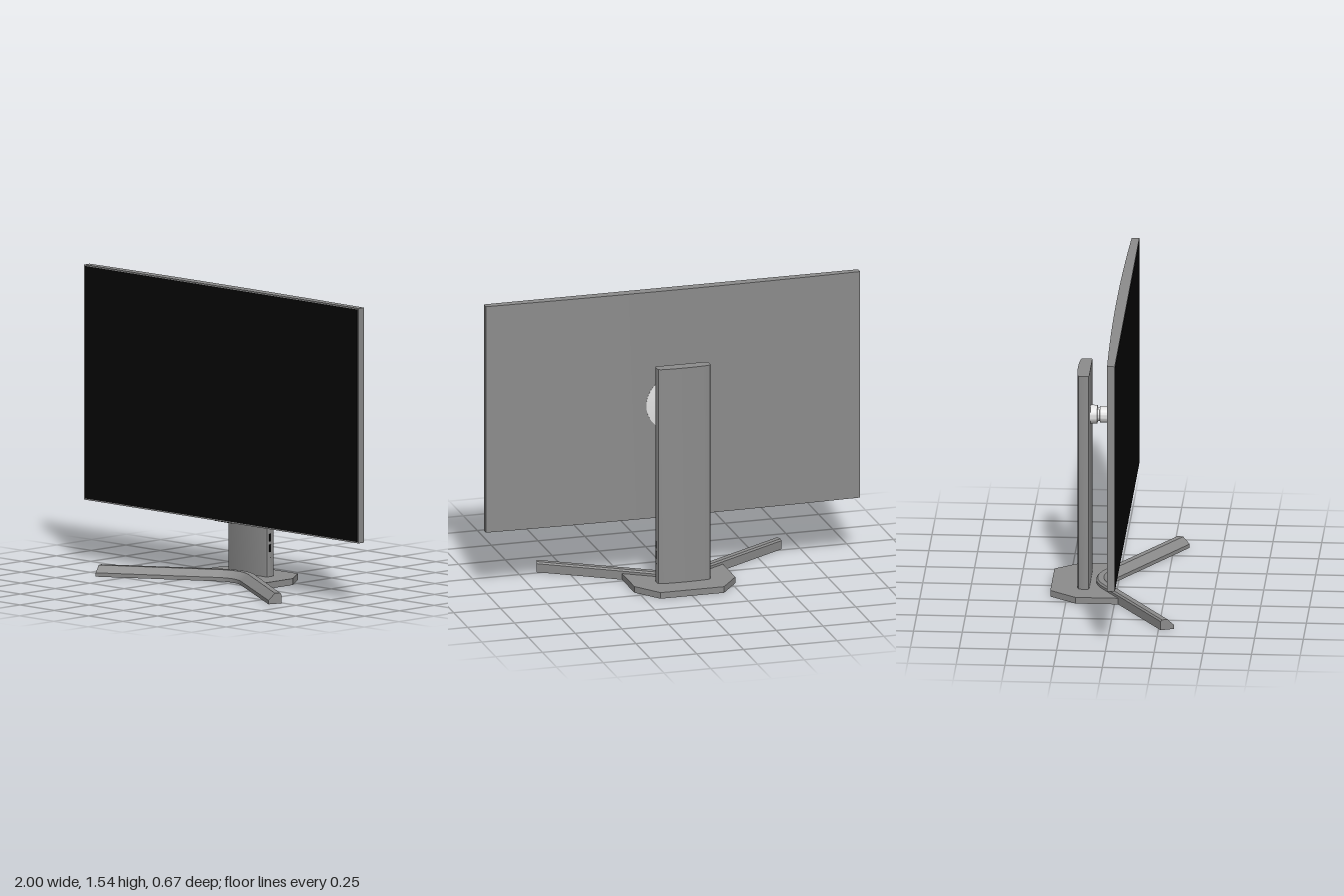
import * as THREE from 'three';
import { toCreasedNormals } from 'three/addons/utils/BufferGeometryUtils.js';

const mat = (name, color) => new THREE.MeshStandardMaterial({ name, color });

// Extrude an outline given in x, z upwards from y0 to y1
function slab(points, y0, y1) {
  const shape = new THREE.Shape(points.map(([x, z]) => new THREE.Vector2(x, -z)));
  const geo = new THREE.ExtrudeGeometry(shape, { depth: y1 - y0, bevelEnabled: false });
  geo.rotateX(-Math.PI / 2).translate(0, y0, 0);
  return toCreasedNormals(geo, 0.5);
}

// Mirror the right half of an outline over x = 0
const mirrored = (half) => [...half, ...half.map(([x, z]) => [-x, z]).reverse()];

// Sweep a cross-section between a back edge and a front edge
function sweep(back, front, section) {
  const n = section.length, pos = [], idx = [];
  back.forEach((b, i) => section.forEach(([t, y]) =>
    pos.push(b.x + (front[i].x - b.x) * t, y, b.y + (front[i].y - b.y) * t)));
  for (let i = 0; i < back.length - 1; i++) {
    for (let j = 0; j < n; j++) {
      const a = i * n + j, b = i * n + (j + 1) % n;
      idx.push(a, b, a + n, b, b + n, a + n);
    }
  }
  const last = (back.length - 1) * n;
  for (let j = 1; j < n - 1; j++) {
    idx.push(0, j + 1, j, last, last + j, last + j + 1);
  }
  const geo = new THREE.BufferGeometry();
  geo.setAttribute('position', new THREE.Float32BufferAttribute(pos, 3));
  geo.setIndex(idx);
  return toCreasedNormals(geo, 0.4);
}

// Straight arm, rounded bend, straight arm
function bentEdge(endX, endZ, bendX, bendZ, controlZ) {
  const v = (x, z) => new THREE.Vector2(x, z);
  const bend = new THREE.QuadraticBezierCurve(v(-bendX, bendZ), v(0, controlZ), v(bendX, bendZ));
  return [v(-endX, endZ), ...bend.getPoints(12), v(endX, endZ)];
}

export function createModel() {
  const group = new THREE.Group();
  const grey = mat('grey plastic', 0x8c8c8c);
  const black = mat('black screen', 0x050505);
  const silver = mat('light metal', 0xe2e2e2);
  const add = (name, geo, material, x = 0, y = 0, z = 0) => {
    const mesh = new THREE.Mesh(geo, material);
    mesh.name = name;
    mesh.position.set(x, y, z);
    group.add(mesh);
  };

  // Display housing with a gently bowed back
  const housing = [[-1, 0.048], [1, 0.048]];
  for (let i = 0; i <= 16; i++) {
    const x = 1 - i / 8;
    housing.push([x, -0.007 + 0.016 * x * x]);
  }
  add('displayHousing', slab(housing, 0.326, 1.545), grey);
  add('screen', new THREE.BoxGeometry(1.986, 1.205, 0.004), black, 0, 0.9355, 0.048);
  add('sensorStrip', new THREE.BoxGeometry(0.12, 0.008, 0.025), black, 0, 0.325, 0.02);

  // Shallow mounting dish, pivot and collar
  const mount = [[0, 0], [0.148, 0], [0.148, 0.003], [0.05, 0.013], [0.042, 0.014], [0.042, 0.084],
    [0.035, 0.086], [0.035, 0.096], [0.048, 0.098], [0.048, 0.138], [0, 0.138]];
  const mountGeo = new THREE.LatheGeometry(mount.map(([r, d]) => new THREE.Vector2(r, d)), 40);
  add('mount', toCreasedNormals(mountGeo.rotateX(-Math.PI / 2), 0.5), silver, 0, 0.935, -0.005);

  // Upright column with rounded corners and a curved back
  const column = [[0, -0.204], [0.05, -0.203], [0.1, -0.2], [0.125, -0.197],
    [0.137, -0.192], [0.142, -0.182], [0.142, -0.15], [0.139, -0.142], [0.13, -0.138]];
  add('column', slab(mirrored(column).slice(0, -1).reverse(), 0.03, 1.187), grey);

  // Sockets on the column's side
  for (const [y, h, w] of [[0.235, 0.04, 0.013], [0.18, 0.04, 0.013], [0.132, 0.004, 0.004]]) {
    add('socket', new THREE.BoxGeometry(0.004, h, w), black, 0.141, y, -0.163);
  }

  // Base plate
  const plate = [[0.17, -0.335], [0.27, -0.2], [0.27, 0.025], [0.1, -0.07], [0.03, -0.095]];
  add('basePlate', slab(mirrored(plate).reverse(), 0, 0.033), grey);

  // Bent front foot with a sloped front face
  const section = [[0, 0], [0, 0.046], [0.1, 0.055], [0.5, 0.055], [1, 0.02], [1, 0]];
  add('frontFoot', sweep(
    bentEdge(0.655, 0.262, 0.13, -0.069, -0.15),
    bentEdge(0.63, 0.33, 0.09, -0.005, -0.06),
    section), grey);

  return group;
}
